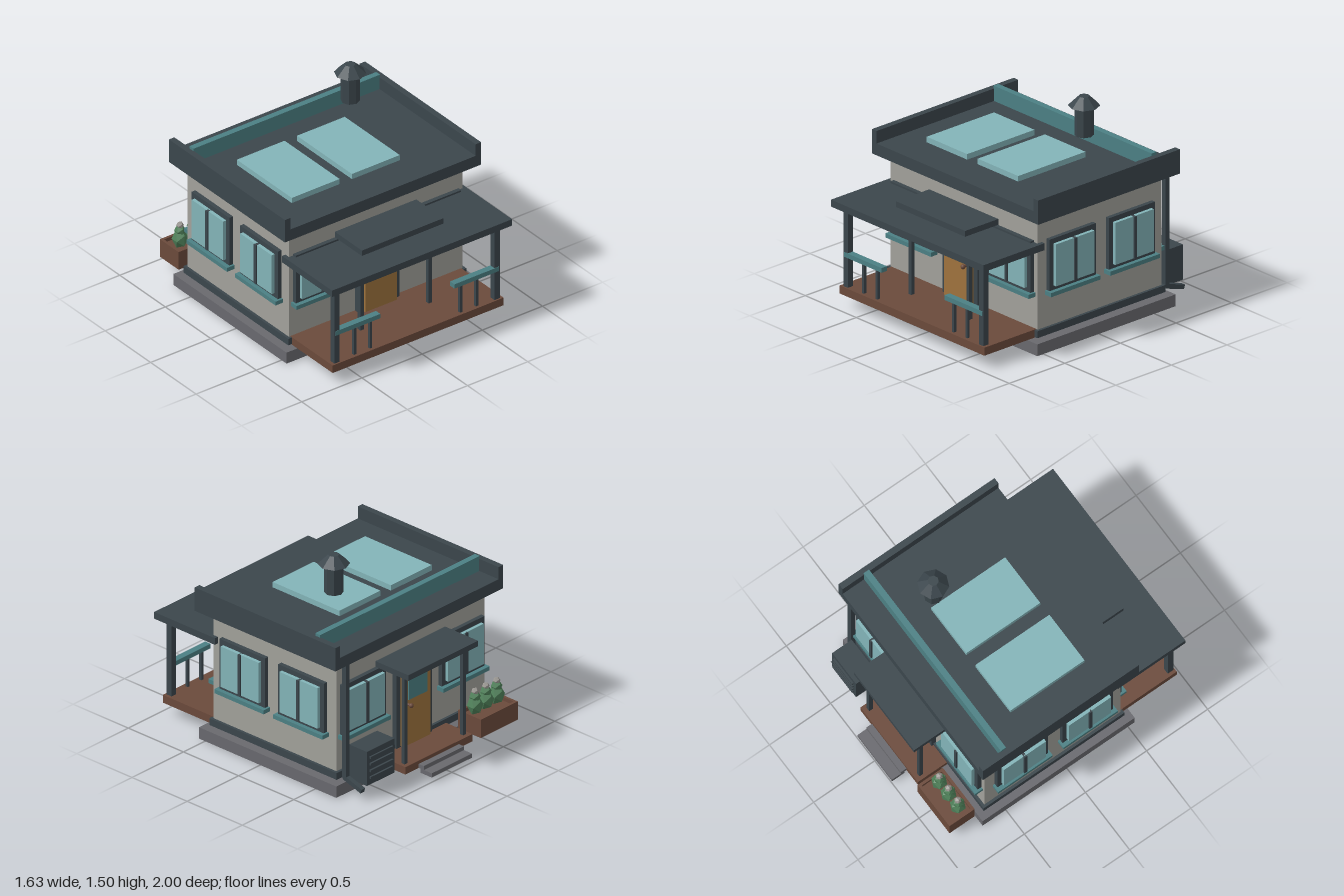
import * as THREE from 'three';

const mat = (name, color) => {
  const m = new THREE.MeshStandardMaterial({ color });
  m.name = name;
  return m;
};

export function createModel() {
  const dark = mat('slate', 0x3b464c);
  const wall = mat('plaster', 0xa2a19b);
  const stone = mat('stone', 0x69696e);
  const wood = mat('deck wood', 0x6b4a3b);
  const doorWood = mat('door wood', 0x9f733d);
  const teal = mat('teal', 0x4c8084);
  const glass = mat('glass', 0x83b4b8);
  const green = mat('leaf', 0x4f8059);
  const pale = mat('blossom', 0x9b9893);
  green.flatShading = pale.flatShading = dark.flatShading = true;

  const house = new THREE.Group();
  house.name = 'house';

  const add = (parent, name, geo, m, x = 0, y = 0, z = 0) => {
    const mesh = new THREE.Mesh(geo, m);
    mesh.name = name;
    mesh.position.set(x, y, z);
    parent.add(mesh);
    return mesh;
  };
  // Box given by its min and max on each axis
  const box = (parent, name, m, x0, x1, y0, y1, z0, z1) =>
    add(parent, name, new THREE.BoxGeometry(x1 - x0, y1 - y0, z1 - z0), m,
      (x0 + x1) / 2, (y0 + y1) / 2, (z0 + z1) / 2);
  const group = (name, x = 0, z = 0, turn = 0) => {
    const g = new THREE.Group();
    g.name = name;
    g.position.set(x, 0, z);
    g.rotation.y = turn;
    house.add(g);
    return g;
  };

  const FRONT = 0.49, BACK = -0.625, SIDE = 0.72;

  // Body
  box(house, 'foundation', stone, -0.79, 0.79, 0, 0.085, -0.69, 0.555);
  box(house, 'baseTrim', dark, -0.74, 0.74, 0.1, 0.15, -0.645, 0.508);
  box(house, 'walls', wall, -SIDE, SIDE, 0.1, 0.97, BACK, FRONT);

  // Roof with side parapets, rear ridge board and panels
  box(house, 'roofSlab', dark, -0.77, 0.77, 0.96, 1.045, -0.705, 0.57);
  for (const s of [-1, 1]) {
    box(house, 'parapet', dark, s * 0.7925 - 0.0225, s * 0.7925 + 0.0225, 0.96, 1.135, -0.705, 0.57);
  }
  box(house, 'ridgeBoard', teal, -0.775, 0.775, 1.04, 1.155, -0.53, -0.487);
  for (const x of [-0.3625, 0.1375]) {
    box(house, 'roofPanel', glass, x - 0.1985, x + 0.1985, 1.04, 1.085, -0.295, 0.31);
  }

  // Chimney
  add(house, 'chimneyPipe', new THREE.CylinderGeometry(0.065, 0.065, 0.215, 8), dark, 0.357, 1.3325, -0.263);
  add(house, 'chimneyCap', new THREE.CylinderGeometry(0.037, 0.108, 0.068, 8), dark, 0.357, 1.471, -0.263);

  // Windows, each facing its local +z
  const addWindow = (x, z, turn) => {
    const g = group('window', x, z, turn);
    box(g, 'windowFrame', dark, -0.207, 0.207, 0.41, 0.785, -0.01, 0.031);
    box(g, 'windowGlass', glass, -0.173, 0.173, 0.446, 0.749, 0.02, 0.056);
    box(g, 'mullion', dark, -0.0115, 0.0115, 0.446, 0.749, 0.02, 0.066);
    box(g, 'windowSill', teal, -0.223, 0.223, 0.384, 0.414, -0.01, 0.062);
  };
  for (const s of [-1, 1]) {
    addWindow(s * 0.48, FRONT, 0);
    addWindow(s * 0.48, BACK, Math.PI);
    for (const z of [0.2, -0.333]) addWindow(s * SIDE, z, s * Math.PI / 2);
  }

  // Entrances: door, canopy on posts, landing and steps
  const addEntrance = (name, z, turn, knobSide) => {
    const g = group(name, 0, z, turn);
    box(g, 'doorFrame', dark, -0.173, 0.173, 0.12, 0.765, -0.01, 0.035);
    box(g, 'door', doorWood, -0.132, 0.132, 0.125, 0.72, 0.02, 0.06);
    box(g, 'doorWindow', teal, -0.09, 0.09, 0.465, 0.617, 0.05, 0.069);
    const stem = add(g, 'knobStem', new THREE.CylinderGeometry(0.009, 0.009, 0.03, 8), wood, knobSide * 0.087, 0.43, 0.072);
    stem.rotation.x = Math.PI / 2;
    add(g, 'doorKnob', new THREE.SphereGeometry(0.017, 10, 8), wood, knobSide * 0.087, 0.43, 0.088);
    box(g, 'canopy', dark, -0.34, 0.337, 0.786, 0.828, -0.01, 0.298);
    for (const s of [-1, 1]) {
      box(g, 'canopyPost', dark, s * 0.284 - 0.0145, s * 0.284 + 0.0145, 0.11, 0.79, 0.196, 0.226);
    }
    box(g, 'landing', wood, -0.325, 0.325, 0.065, 0.12, -0.01, 0.257);
    box(g, 'upperStep', stone, -0.195, 0.195, 0.065, 0.095, 0.24, 0.303);
    box(g, 'lowerStep', stone, -0.195, 0.195, 0.035, 0.066, 0.275, 0.375);
  };
  addEntrance('frontEntrance', FRONT, 0, 1);
  addEntrance('backEntrance', BACK, Math.PI, -1);

  // Front porch
  box(house, 'porchDeck', wood, -0.71, 0.71, 0.095, 0.153, 0.48, 0.957);
  box(house, 'porchRoof', dark, -0.748, 0.748, 0.722, 0.772, 0.45, 1);
  for (const s of [-1, 1]) {
    box(house, 'porchPost', dark, s * 0.665 - 0.022, s * 0.665 + 0.022, 0.15, 0.724, 0.9, 0.945);
    box(house, 'porchRail', teal, s * 0.493 - 0.185, s * 0.493 + 0.185, 0.368, 0.402, 0.9, 0.948);
    for (const x of [0.375, 0.507]) {
      box(house, 'baluster', dark, s * x - 0.01, s * x + 0.01, 0.15, 0.37, 0.912, 0.934);
    }
  }

  // Outdoor cooling unit with slats
  box(house, 'coolingUnit', dark, 0.405, 0.675, 0.105, 0.36, -0.86, -0.7);
  for (let i = 0; i < 4; i++) {
    const y = 0.16 + i * 0.05;
    box(house, 'slat', dark, 0.432, 0.65, y - 0.008, y + 0.008, -0.874, -0.85);
  }

  // Downspout with a slanted outlet
  box(house, 'downspout', dark, 0.677, 0.712, 0.115, 0.97, -0.706, -0.669);
  const outlet = box(house, 'downspoutOutlet', dark, 0.677, 0.712, 0.08, 0.112, -0.845, -0.675);
  outlet.rotation.x = -0.3;

  // Planter box with three bushes
  box(house, 'planterBase', wood, -0.72, -0.38, 0.085, 0.195, -0.905, -0.715);
  for (const z of [-0.907, -0.721]) {
    box(house, 'planterSide', wood, -0.73, -0.37, 0.085, 0.222, z - 0.01, z + 0.01);
  }
  for (const x of [-0.72, -0.38]) {
    box(house, 'planterEnd', wood, x - 0.01, x + 0.01, 0.085, 0.222, -0.897, -0.731);
  }
  for (const x of [-0.655, -0.55, -0.445]) {
    const bush = add(house, 'bush', new THREE.IcosahedronGeometry(0.057, 0), green, x, 0.262, -0.795);
    bush.scale.y = 1.3;
    add(house, 'bushTop', new THREE.IcosahedronGeometry(0.04, 0), green, x, 0.325, -0.795);
    add(house, 'blossom', new THREE.IcosahedronGeometry(0.026, 0), pale, x, 0.364, -0.795);
  }

  return house;
}
